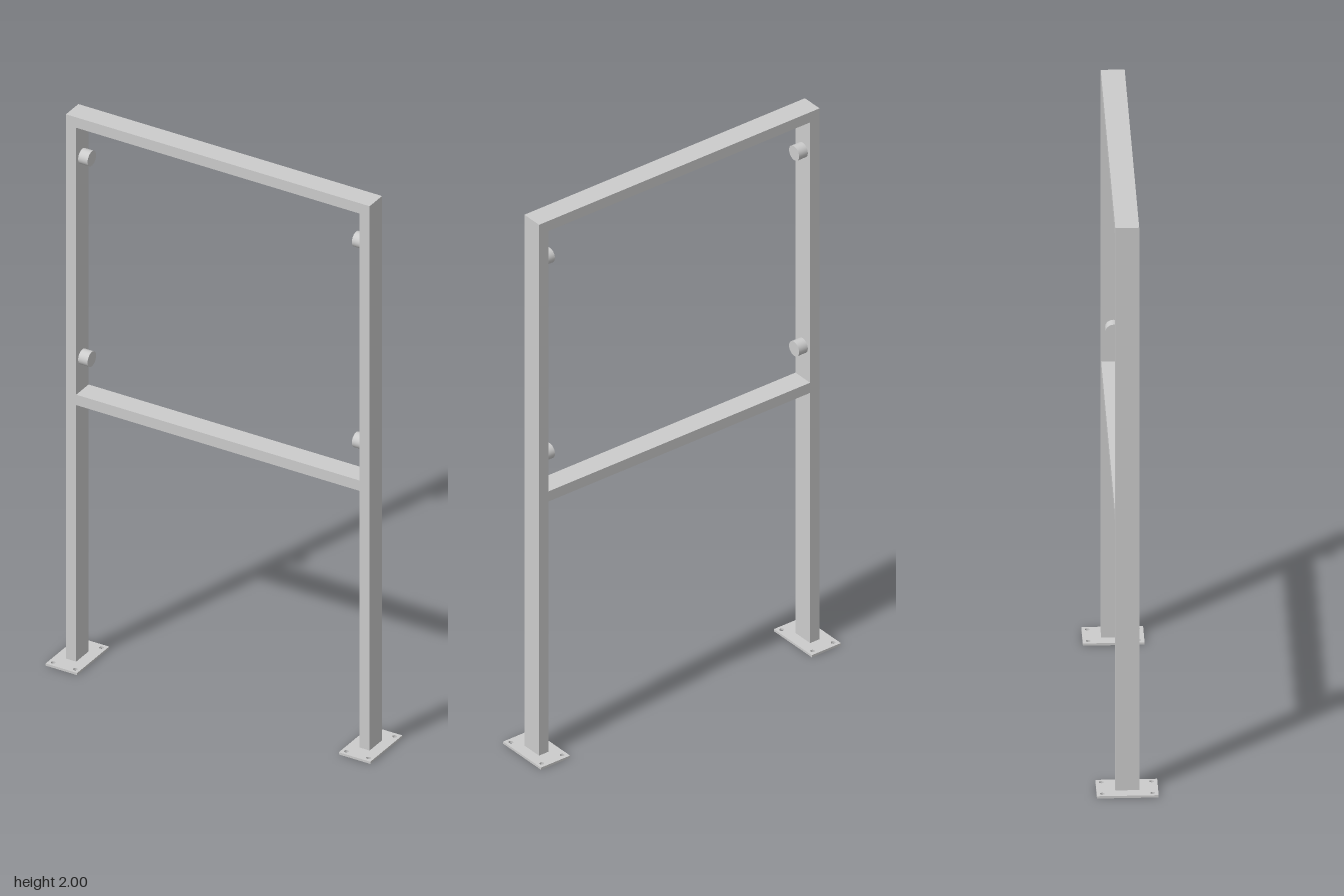
import * as THREE from 'three';

const HALF_W = 0.563;   // outer half width of the frame
const TUBE = 0.038;     // face width of the frame profile
const DEPTH = 0.076;    // front to back
const INNER = HALF_W - TUBE;
const PLATE_T = 0.008;

export function createModel() {
  const model = new THREE.Group();
  const material = new THREE.MeshStandardMaterial({ color: 0xcccccc });

  const add = (name, geometry, x = 0, y = 0, z = 0) => {
    const mesh = new THREE.Mesh(geometry, material);
    mesh.name = name;
    mesh.position.set(x, y, z);
    model.add(mesh);
    return mesh;
  };

  // Two posts and the top rail as one continuous arch
  const arch = new THREE.Shape([
    [-HALF_W, PLATE_T], [-INNER, PLATE_T], [-INNER, 2 - TUBE], [INNER, 2 - TUBE],
    [INNER, PLATE_T], [HALF_W, PLATE_T], [HALF_W, 2], [-HALF_W, 2],
  ].map(([x, y]) => new THREE.Vector2(x, y)));
  add('postsAndTopRail',
    new THREE.ExtrudeGeometry(arch, { depth: DEPTH, bevelEnabled: false }), 0, 0, -DEPTH / 2);

  // Middle rail between the posts
  add('middleRail', new THREE.BoxGeometry(INNER * 2, TUBE, DEPTH), 0, 0.966, 0);

  // Base plate with four bolt holes
  const pw = 0.0585, pd = 0.098;
  const plate = new THREE.Shape([
    [-pw, -pd], [pw, -pd], [pw, pd], [-pw, pd],
  ].map(([x, y]) => new THREE.Vector2(x, y)));
  for (const sx of [-1, 1]) {
    for (const sz of [-1, 1]) {
      plate.holes.push(new THREE.Path().absarc(sx * 0.041, sz * 0.08, 0.0075, 0, Math.PI * 2, true));
    }
  }
  const plateGeometry = new THREE.ExtrudeGeometry(plate, {
    depth: PLATE_T, bevelEnabled: false, curveSegments: 16,
  }).rotateX(-Math.PI / 2);

  // Short round stud on the inner face of a post
  const studLength = 0.035;
  const studGeometry = new THREE.CylinderGeometry(0.026, 0.026, studLength, 32).rotateZ(Math.PI / 2);

  for (const [side, s] of [['left', 1], ['right', -1]]) {
    add(`${side}BasePlate`, plateGeometry, s * 0.5435, 0, 0);
    add(`${side}UpperStud`, studGeometry, s * (INNER - studLength / 2), 1.841, 0);
    add(`${side}LowerStud`, studGeometry, s * (INNER - studLength / 2), 1.107, 0);
  }

  return model;
}
